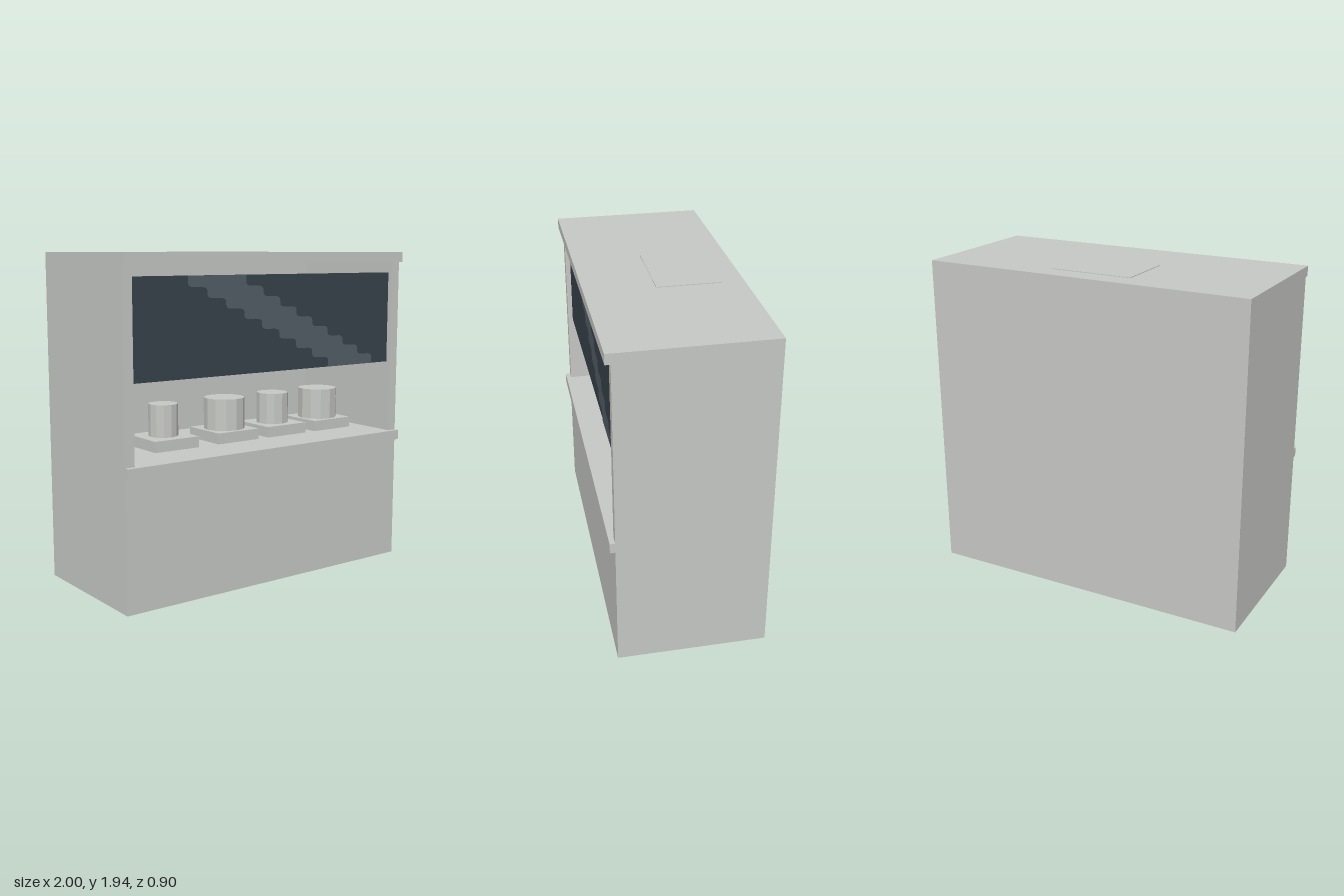
import * as THREE from 'three';

const cabinetGrey = new THREE.MeshStandardMaterial({ name: 'cabinet grey', color: 0xc6c8c4 });
const darkGlass = new THREE.MeshStandardMaterial({ name: 'dark glass', color: 0x37424a });
const glassStreak = new THREE.MeshStandardMaterial({ name: 'glass streak', color: 0x535e67 });

// Box given by its lower and upper limits on each axis
function box(name, [x0, x1], [y0, y1], [z0, z1], material = cabinetGrey) {
  const mesh = new THREE.Mesh(new THREE.BoxGeometry(x1 - x0, y1 - y0, z1 - z0), material);
  mesh.position.set((x0 + x1) / 2, (y0 + y1) / 2, (z0 + z1) / 2);
  mesh.name = name;
  return mesh;
}

// Corner points of a descending staircase edge across the glass
function stairs(x, top, bottom, steps, run) {
  const drop = (top - bottom) / (steps + 1);
  const points = [[x, top]];
  for (let i = 1; i <= steps; i++) {
    const y = top - drop * i;
    points.push([x + run * (i - 1), y], [x + run * i, y]);
  }
  points.push([x + run * steps, bottom]);
  return points.map(([px, py]) => new THREE.Vector2(px, py));
}

// Stepped diagonal reflection with rounded step corners
function streakShape() {
  const left = stairs(-0.575, 1.815, 1.255, 8, 0.127);
  const right = stairs(-0.18, 1.815, 1.255, 8, 0.123).reverse();
  const shape = new THREE.Shape();
  shape.moveTo(left[0].x, left[0].y);
  for (const edge of [left, right]) {
    shape.lineTo(edge[0].x, edge[0].y);
    for (let i = 1; i < edge.length - 1; i++) {
      const a = edge[i].clone().lerp(edge[i - 1], 0.4);
      const b = edge[i].clone().lerp(edge[i + 1], 0.3);
      shape.lineTo(a.x, a.y);
      shape.quadraticCurveTo(edge[i].x, edge[i].y, b.x, b.y);
    }
    const end = edge[edge.length - 1];
    shape.lineTo(end.x, end.y);
  }
  shape.closePath();
  return shape;
}

export function createModel() {
  const group = new THREE.Group();
  group.name = 'displayCabinet';

  // Cabinet shell: solid base, counter and roof with front lips, walls
  group.add(
    box('lowerCabinet', [-1, 1], [0, 0.755], [-0.45, 0.42]),
    box('counter', [-1, 1], [0.755, 0.815], [-0.45, 0.45]),
    box('roof', [-1, 1], [1.88, 1.94], [-0.45, 0.45]),
    box('backWall', [-0.94, 0.94], [0.815, 1.88], [-0.45, -0.39]),
    box('leftWall', [0.94, 1], [0.815, 1.88], [-0.45, 0.42]),
    box('rightWall', [-1, -0.94], [0.815, 1.88], [-0.45, 0.42]),
    box('roofPlate', [-0.25, 0.25], [1.94, 1.944], [-0.32, 0.05]),
  );

  // Glass sash and its painted reflection
  group.add(box('glassSash', [-0.94, 0.94], [1.255, 1.815], [0.37, 0.39], darkGlass));
  const streak = new THREE.Mesh(new THREE.ShapeGeometry(streakShape(), 4), glassStreak);
  streak.name = 'glassReflection';
  streak.position.z = 0.393;
  group.add(streak);

  // Row of burners: square base plate and faceted drum
  const flatDrum = (r) => new THREE.CylinderGeometry(r, r, 0.19, 12).toNonIndexed();
  for (const [x, r] of [[-0.505, 0.0875], [-0.065, 0.125], [0.31, 0.1], [0.685, 0.125]]) {
    const burner = new THREE.Group();
    burner.name = 'burner';
    const geometry = flatDrum(r);
    geometry.computeVertexNormals();
    const drum = new THREE.Mesh(geometry, cabinetGrey);
    drum.name = 'drum';
    drum.position.y = 0.975;
    burner.add(box('basePlate', [-0.15, 0.15], [0.815, 0.88], [-0.15, 0.15]), drum);
    burner.position.set(x, 0, 0.02);
    group.add(burner);
  }
  return group;
}
